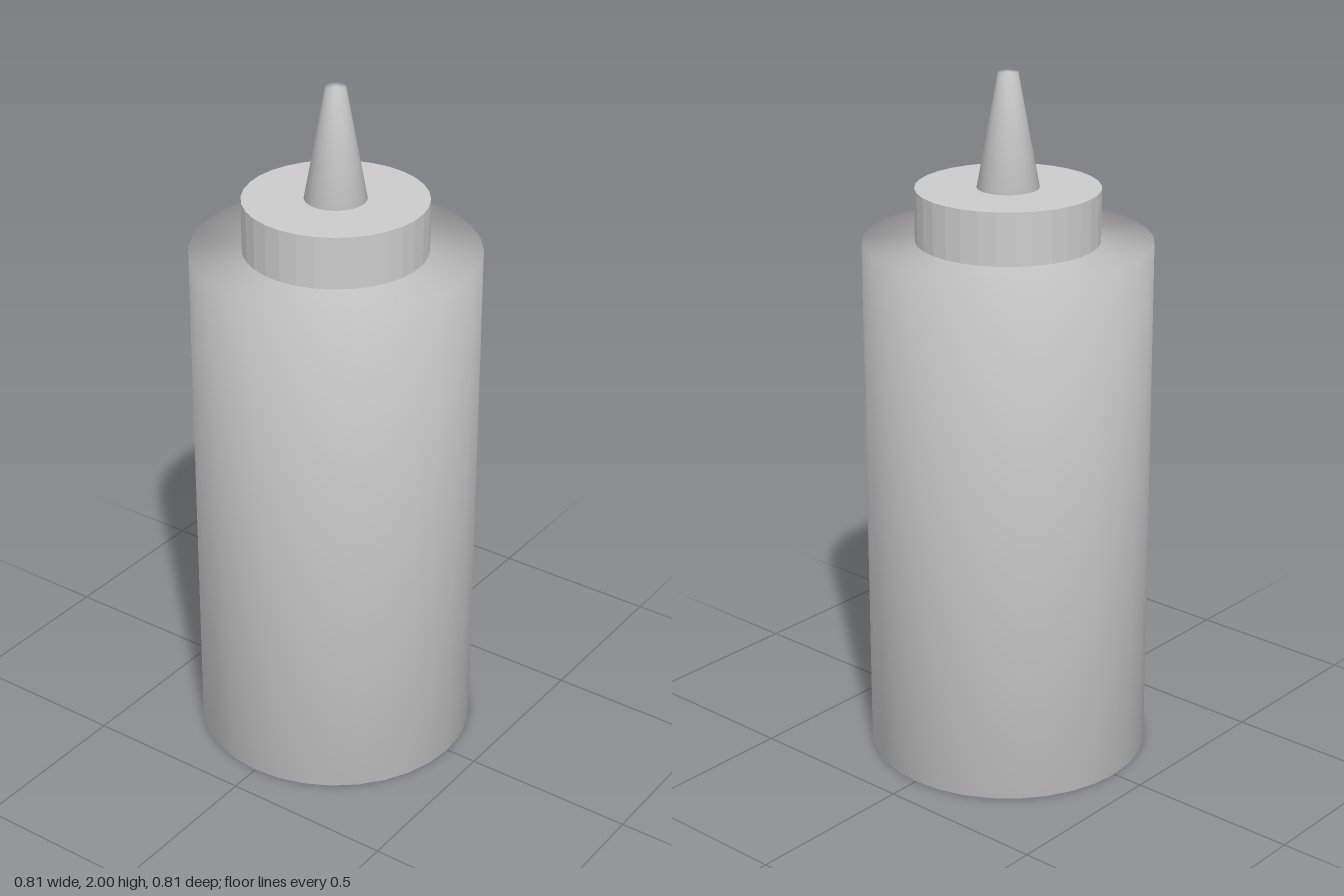
import * as THREE from 'three';

const SIDES = 32;

// Closed round solid with softly shaded rims, turned from bottom to top
function turned(name, bottomRadius, topRadius, y0, y1, material) {
  const profile = [[0, y0], [bottomRadius, y0], [topRadius, y1], [0, y1]]
    .map(([r, y]) => new THREE.Vector2(r, y));
  const mesh = new THREE.Mesh(new THREE.LatheGeometry(profile, SIDES), material);
  mesh.name = name;
  return mesh;
}

export function createModel() {
  const group = new THREE.Group();
  group.name = 'squeezeBottle';
  const smooth = new THREE.MeshStandardMaterial({ color: 0xcccccc });
  const faceted = new THREE.MeshStandardMaterial({ color: 0xcccccc, flatShading: true });

  // Straight bottle body
  group.add(turned('body', 0.405, 0.405, 0, 1.53, smooth));

  // Faceted screw cap
  const cap = new THREE.Mesh(new THREE.CylinderGeometry(0.258, 0.258, 0.15, SIDES), faceted);
  cap.name = 'cap';
  cap.position.y = 1.605;
  group.add(cap);

  // Tapered nozzle
  group.add(turned('nozzle', 0.087, 0.028, 1.68, 2, smooth));

  return group;
}
